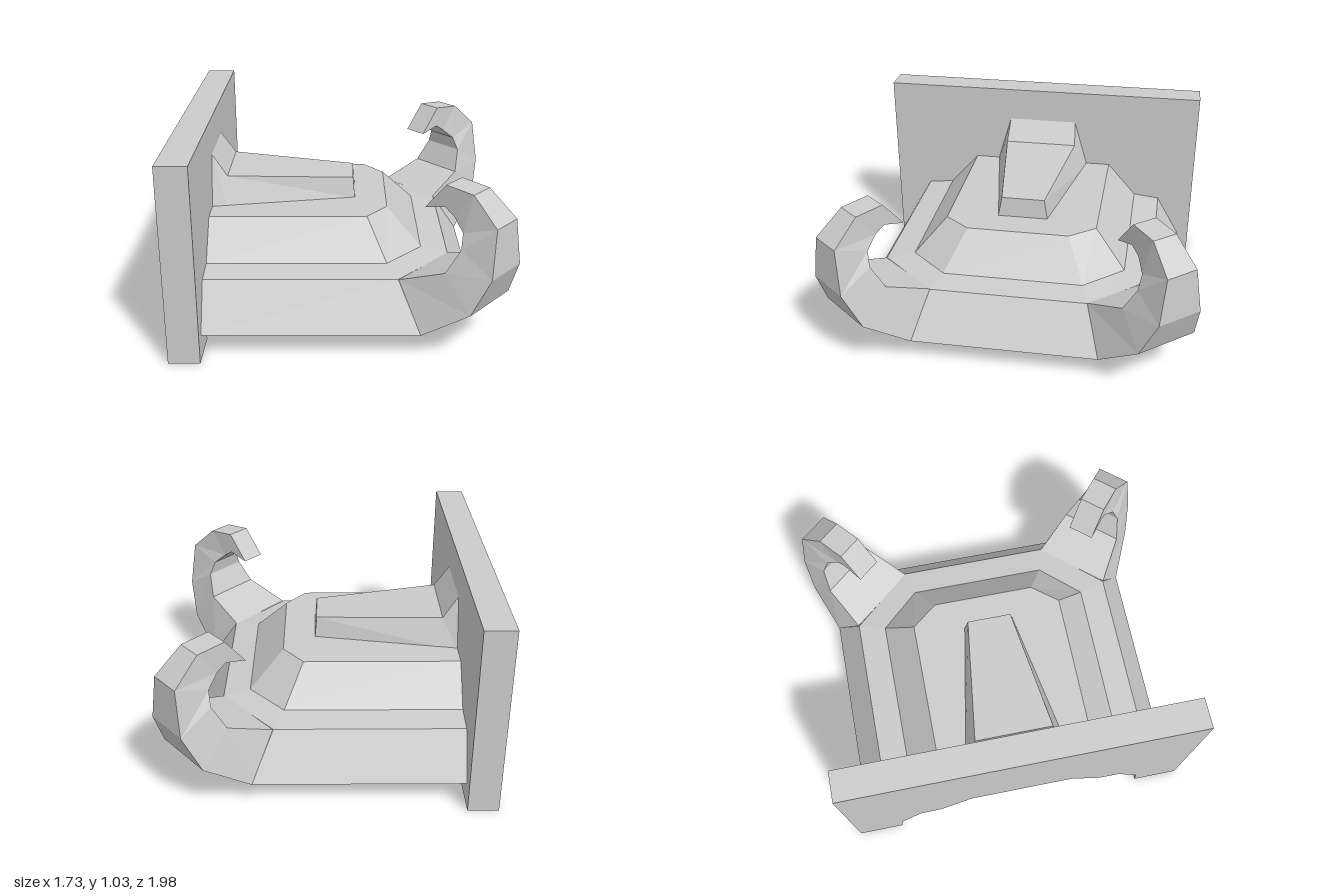
import * as THREE from 'three';

const material = new THREE.MeshStandardMaterial({ color: 0xcccccc, flatShading: true });

// Skin a list of equal-length sections; optional fan caps on the first and last one
function loft(name, sections, { closed = false, startCap = false, endCap = false } = {}) {
  const n = sections[0].length, index = [];
  for (let s = 0; s < sections.length - 1; s++) {
    for (let i = 0; i < (closed ? n : n - 1); i++) {
      const j = (i + 1) % n, a = s * n, b = a + n;
      index.push(a + i, a + j, b + j, a + i, b + j, b + i);
    }
  }
  const last = (sections.length - 1) * n;
  for (let i = 1; i < n - 1; i++) {
    if (startCap) index.push(0, i + 1, i);
    if (endCap) index.push(last, last + i, last + i + 1);
  }
  let geometry = new THREE.BufferGeometry();
  geometry.setAttribute('position', new THREE.Float32BufferAttribute(sections.flat(2), 3));
  geometry.setIndex(index);
  geometry = geometry.toNonIndexed();
  geometry.computeVertexNormals();
  const mesh = new THREE.Mesh(geometry, material);
  mesh.name = name;
  return mesh;
}

// Open outline with two chamfered corners: (x1, z1) on the side, (x2, z2) at the end
const ring = ([y, x1, z1, x2, z2]) => [
  [-0.71, y, z1], [x1, y, z1], [x2, y, z2],
  [x2, y, -z2], [x1, y, -z1], [-0.71, y, -z1],
];

// Stepped hollow roof: up the inside in reverse, across the rim, then up the outside
function roof() {
  const rings = [
    [0.42, 0.05, 0.28, 0.09, 0.24],
    [0.28, 0.16, 0.45, 0.27, 0.32],
    [0.27, 0.19, 0.57, 0.38, 0.35],
    [0.12, 0.29, 0.69, 0.51, 0.43],
    [0.12, 0.38, 0.88, 0.70, 0.50],
    [0.36, 0.27, 0.74, 0.55, 0.42],
    [0.378, 0.22, 0.59, 0.41, 0.38],
    [0.57, 0.12, 0.42, 0.23, 0.28],
  ].map(ring);
  return loft('roof', rings, { startCap: true, endCap: true });
}

// Curled horn on a chamfered corner, running along its diagonal
function horn(name, side) {
  // outer distance, outer height, outer half width, inner distance, height, half width
  const profile = [
    [0.857, 0.12, 0.25, 0.687, 0.36, 0.212],
    [1.09, 0.28, 0.177, 0.93, 0.455, 0.17],
    [1.17, 0.475, 0.128, 0.99, 0.58, 0.128],
    [1.158, 0.72, 0.09, 0.975, 0.655, 0.095],
    [1.01, 0.85, 0.07, 0.905, 0.715, 0.07],
    [0.851, 0.865, 0.07, 0.85, 0.75, 0.07],
    [0.733, 0.72, 0.07, 0.733, 0.72, 0.07],
  ];
  const point = (u, y, w) => {
    const v = w - 0.18;
    return [0.765 * u + 0.644 * v, y, side * (0.644 * u - 0.765 * v)];
  };
  const sections = profile.map(([ou, oy, ow, iu, iy, iw]) => {
    const s = [point(ou, oy, ow), point(iu, iy, iw), point(iu, iy, -iw), point(ou, oy, -ow)];
    return side > 0 ? s : s.reverse();
  });
  return loft(name, sections, { closed: true });
}

// Tapered ridge on top of the roof, flaring up against the wall plate
function ridge() {
  const sections = [
    [-0.71, 0.84, 0.20, -0.71, 0.28],
    [-0.63, 0.72, 0.21, -0.63, 0.265],
    [0.05, 0.68, 0.12, 0.06, 0.14],
  ].map(([tx, ty, tw, bx, bw]) => [[tx, ty, tw], [bx, 0.565, bw], [bx, 0.565, -bw], [tx, ty, -tw]]);
  return loft('ridge', sections, { closed: true, endCap: true });
}

// Wall plate with a stepped opening matching the roof's inside
function wallPlate() {
  const half = [[0.28, 0.42], [0.45, 0.28], [0.57, 0.27], [0.69, 0.12], [0.70, 0], [0.945, 0], [0.945, 1.03]];
  const mirrored = half.map(([z, y]) => [-z, y]).reverse();
  const shape = new THREE.Shape([...half, ...mirrored].map(([z, y]) => new THREE.Vector2(z, y)));
  const geometry = new THREE.ExtrudeGeometry(shape, { depth: 0.16, bevelEnabled: false });
  geometry.rotateY(Math.PI / 2).translate(-0.87, 0, 0);
  const mesh = new THREE.Mesh(geometry, material);
  mesh.name = 'wallPlate';
  return mesh;
}

export function createModel() {
  const group = new THREE.Group();
  group.name = 'hornedRoof';
  group.add(roof(), ridge(), wallPlate(), horn('frontHorn', 1), horn('backHorn', -1));
  return group;
}
